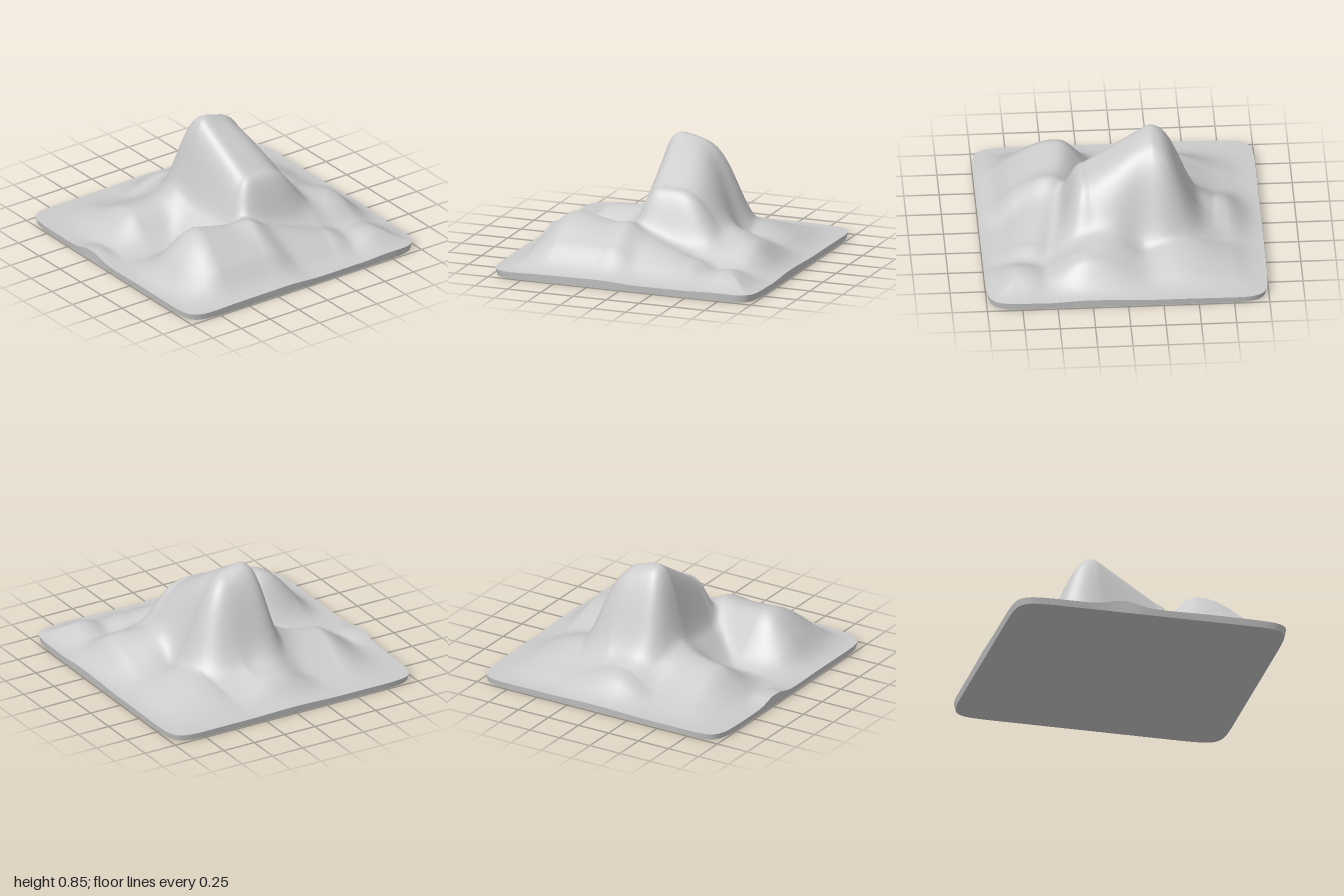
import * as THREE from 'three';

const BASE = 0.045;

// Each hill runs from a to b, given as [x, z, height above the base].
// w = reach towards -x, +x, -z, +z; e = steepness of the flanks in x and in z.
const hills = [
  // main peak with its crest falling to the right
  { a: [-0.2, -0.03, 0.81], b: [0.25, -0.07, 0.53], w: [0.3, 0.18, 0.41, 0.235], e: [2.6, 3.6] },
  // apron under the front face
  { a: [-0.25, 0.17, 0.27], b: [0.32, 0.1, 0.2], w: [0.3, 0.2, 0.3, 0.23], e: [2, 2] },
  // front right ridge
  { a: [0.42, 0.53, 0.34], b: [0.48, 0.17, 0.28], w: [0.23, 0.42, 0.22, 0.28], e: [2.2, 2.2] },
  // ridge running back on the right
  { a: [0.5, 0.12, 0.26], b: [0.63, -0.4, 0.13], w: [0.2, 0.27, 0.2, 0.2], e: [2, 2] },
  // saddle between the peak and that ridge
  { a: [0.38, -0.05, 0.22], b: [0.36, -0.4, 0.2], w: [0.2, 0.2, 0.25, 0.2], e: [2, 2] },
  // rear right knoll
  { a: [0.75, -0.71, 0.11], b: [0.8, -0.71, 0.11], w: [0.25, 0.22, 0.25, 0.2], e: [2, 2] },
  // rear spur
  { a: [0.1, -0.38, 0.28], b: [0.26, -0.66, 0.22], w: [0.4, 0.28, 0.3, 0.28], e: [2, 2] },
  // rear left spur
  { a: [-0.3, -0.25, 0.3], b: [-0.36, -0.48, 0.17], w: [0.4, 0.35, 0.35, 0.25], e: [2, 2] },
  // left ridge
  { a: [-0.42, 0.02, 0.29], b: [-0.66, 0.0, 0.17], w: [0.27, 0.2, 0.34, 0.26], e: [2, 2] },
  // front left ridge
  { a: [-0.28, 0.25, 0.22], b: [-0.32, 0.56, 0.195], w: [0.36, 0.23, 0.2, 0.2], e: [2, 2] },
  // small lip at the front edge
  { a: [-0.24, 1.0, 0.13], b: [-0.2, 1.0, 0.13], w: [0.12, 0.12, 0.11, 0.1], e: [2, 2] },
];

// shallow gully down the back of the peak
const gully = { a: [-0.25, -0.15, 0.03], b: [-0.12, -0.45, 0.06], w: [0.1, 0.12, 0.14, 0.1], e: [2, 2] };

function rise({ a, b, w, e }, x, z) {
  const ux = b[0] - a[0], uz = b[1] - a[1];
  const t = THREE.MathUtils.clamp(((x - a[0]) * ux + (z - a[1]) * uz) / (ux * ux + uz * uz), 0, 1);
  const dx = x - a[0] - ux * t, dz = z - a[1] - uz * t;
  const fallX = Math.pow(Math.abs(dx) / (dx < 0 ? w[0] : w[1]), e[0]);
  const fallZ = Math.pow(Math.abs(dz) / (dz < 0 ? w[2] : w[3]), e[1]);
  return (a[2] + (b[2] - a[2]) * t) * Math.exp(-fallX - fallZ);
}

// Hills merge by a soft maximum and flatten out towards the rim
function groundHeight(x, z) {
  let sum = 0;
  for (const hill of hills) sum += Math.pow(rise(hill, x, z), 4);
  const edge = Math.max(Math.abs(x), Math.abs(z));
  const fade = 1 - 0.7 * THREE.MathUtils.smoothstep(edge, 0.75, 1);
  return BASE + fade * Math.max(0, Math.pow(sum, 1 / 4) - rise(gully, x, z));
}

// Squeezes the square outline into one with rounded corners
function cornerScale(x, z) {
  const m = Math.max(Math.abs(x), Math.abs(z));
  if (m < 1e-6) return 1;
  const n = 14;
  return Math.pow(Math.pow(Math.abs(x) / m, n) + Math.pow(Math.abs(z) / m, n), -1 / n);
}

export function createModel() {
  const group = new THREE.Group();
  group.name = 'mountainTerrain';

  // A slab whose top is raised into the landscape
  const geometry = new THREE.BoxGeometry(2, BASE, 2, 140, 1, 140);
  const pos = geometry.attributes.position;
  for (let i = 0; i < pos.count; i++) {
    const isTop = pos.getY(i) > 0;
    const k = cornerScale(pos.getX(i), pos.getZ(i));
    const x = pos.getX(i) * k, z = pos.getZ(i) * k;
    const inset = isTop ? 1 : 0.99;
    pos.setXYZ(i, x * inset, isTop ? groundHeight(x, z) : 0, z * inset);
  }
  geometry.computeVertexNormals();

  const terrain = new THREE.Mesh(geometry, new THREE.MeshStandardMaterial({ color: 0xcccccc }));
  terrain.name = 'terrain';
  group.add(terrain);
  return group;
}
